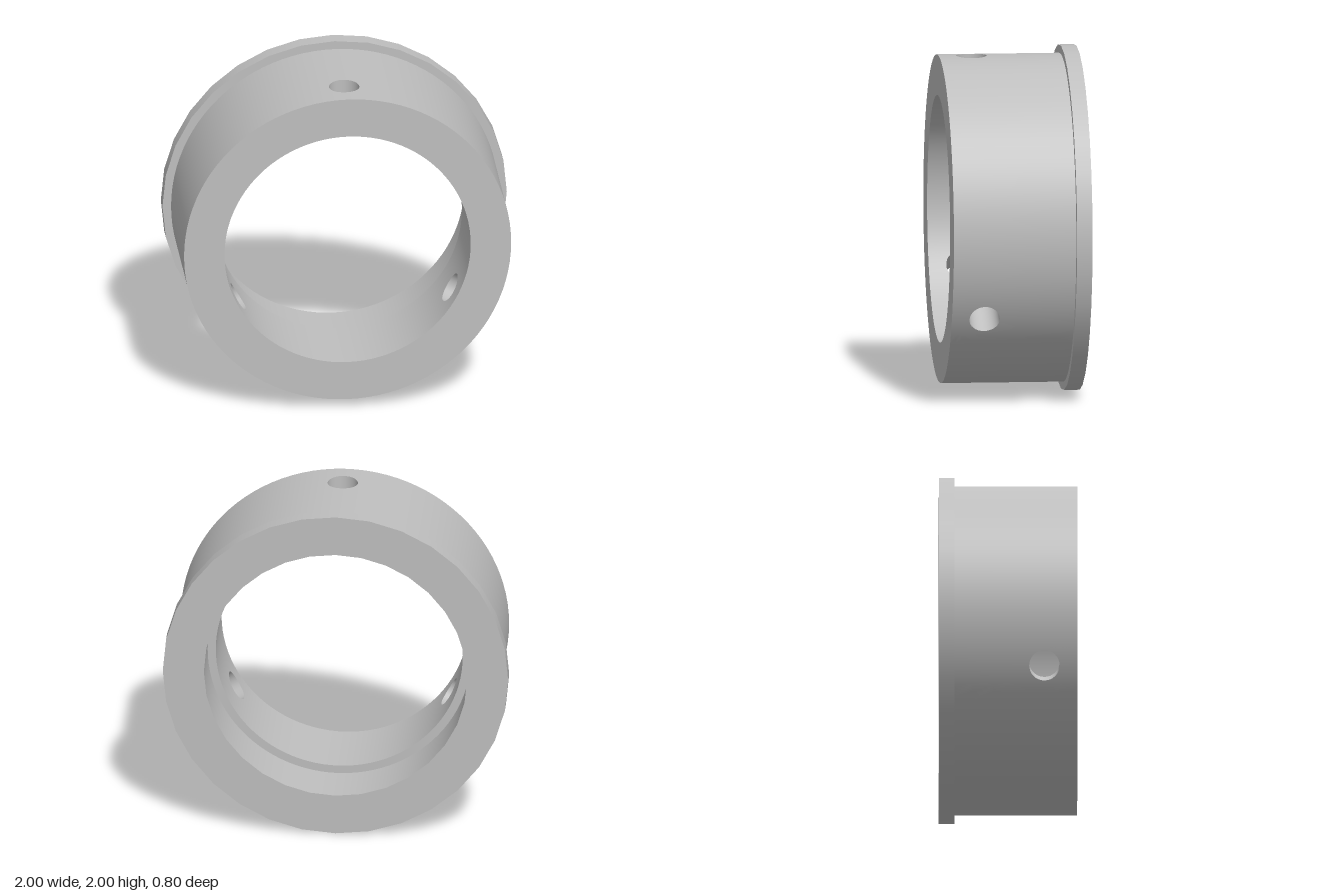
import * as THREE from 'three';

// Radii, depths (z) and radial hole dimensions
const BODY_R = 0.95, FLANGE_R = 1, BORE_R = 0.715, COUNTERBORE_R = 0.762;
const FRONT = 0.4, BACK = -0.4, FLANGE_Z = -0.31, STEP_Z = -0.08;
const HOLE_R = 0.088, HOLE_Z = 0.21, PATCH = Math.PI / 12;
const HOLE_ANGLES = [0, 1, 2].map((i) => (i * Math.PI * 2) / 3);

const metal = new THREE.MeshStandardMaterial({ color: 0xbebebe });
metal.name = 'grey metal';

// Point at radius r and angle a clockwise from the top
const polar = (r, a, z) => new THREE.Vector3(r * Math.sin(a), r * Math.cos(a), z);

// Surface grid: point(u, v) and normal(point, u); each triangle is wound to agree with its normal
function surface(name, nu, nv, point, normal) {
  const pts = [], nrm = [], index = [];
  for (let j = 0; j <= nv; j++) {
    for (let i = 0; i <= nu; i++) {
      const p = point(i / nu, j / nv);
      pts.push(p);
      nrm.push(normal(p, i / nu));
    }
  }
  const addTriangle = (a, b, c) => {
    const n = pts[b].clone().sub(pts[a]).cross(pts[c].clone().sub(pts[a]));
    const facing = nrm[a].clone().add(nrm[b]).add(nrm[c]);
    if (n.dot(facing) < 0) index.push(a, c, b);
    else index.push(a, b, c);
  };
  for (let j = 0; j < nv; j++) {
    for (let i = 0; i < nu; i++) {
      const a = j * (nu + 1) + i, d = a + nu + 1;
      addTriangle(a, a + 1, d + 1);
      addTriangle(a, d + 1, d);
    }
  }
  const g = new THREE.BufferGeometry().setFromPoints(pts);
  g.setAttribute('normal', new THREE.Float32BufferAttribute(nrm.flatMap((n) => n.toArray()), 3));
  g.setIndex(index);
  const mesh = new THREE.Mesh(g, metal);
  mesh.name = name;
  return mesh;
}

const radial = (sign) => (p) => new THREE.Vector3(p.x, p.y, 0).normalize().multiplyScalar(sign);

// Cylindrical wall; sign +1 faces outward, -1 inward
function wall(name, r, z0, z1, sign, a0 = 0, a1 = Math.PI * 2, n = 96) {
  return surface(name, n, 1, (u, v) => polar(r, a0 + (a1 - a0) * u, z0 + (z1 - z0) * v), radial(sign));
}

// Flat ring facing along z
function ring(name, r0, r1, z, sign, n = 96) {
  return surface(name, n, 1, (u, v) => polar(r0 + (r1 - r0) * v, Math.PI * 2 * u, z),
    () => new THREE.Vector3(0, 0, sign));
}

// Edge of a radial hole where it meets a cylinder of radius r, as angle and z
function holeEdge(r, t) {
  return [Math.asin((HOLE_R * Math.cos(t)) / r), HOLE_Z + HOLE_R * Math.sin(t)];
}

// Wall patch running from a rectangular border to a round hole
function holePatch(name, r, z0, z1, sign, centre) {
  const border = (u) => {
    const k = Math.min(Math.floor(u * 4), 3), s = u * 4 - k;
    const x = [1, 1 - 2 * s, -1, 2 * s - 1][k];
    const y = [s, 1, 1 - s, 0][k];
    return [x * PATCH, z0 + (z1 - z0) * y];
  };
  return surface(name, 32, 4, (u, v) => {
    const [ba, bz] = border(u);
    const [ha, hz] = holeEdge(r, Math.PI * 2 * u - Math.PI / 4);
    return polar(r, centre + ba + (ha - ba) * v, bz + (hz - bz) * v);
  }, radial(sign));
}

// Lining of a radial hole through the wall
function holeLining(centre) {
  return surface('radialHole', 32, 1, (u, v) => {
    const r = v ? BORE_R : BODY_R;
    const [a, z] = holeEdge(r, Math.PI * 2 * u - Math.PI / 4);
    return polar(r, centre + a, z);
  }, (p, u) => {
    const t = Math.PI * 2 * u - Math.PI / 4, c = -Math.cos(t);
    return new THREE.Vector3(c * Math.cos(centre), -c * Math.sin(centre), -Math.sin(t));
  });
}

export function createModel() {
  const model = new THREE.Group();
  model.name = 'flangedRing';

  // Sleeve: outer wall and bore, pierced by three radial holes
  const sleeve = new THREE.Group();
  sleeve.name = 'sleeve';
  for (const a of HOLE_ANGLES) {
    const from = a + PATCH, to = a + (Math.PI * 2) / 3 - PATCH;
    sleeve.add(
      wall('outerWall', BODY_R, FLANGE_Z, FRONT, 1, from, to, 24),
      wall('bore', BORE_R, STEP_Z, FRONT, -1, from, to, 24),
      holePatch('outerWallAroundHole', BODY_R, FLANGE_Z, FRONT, 1, a),
      holePatch('boreAroundHole', BORE_R, STEP_Z, FRONT, -1, a),
      holeLining(a),
    );
  }
  sleeve.add(ring('frontFace', BORE_R, BODY_R, FRONT, 1));

  // Counterbore entering from the back
  sleeve.add(
    wall('counterbore', COUNTERBORE_R, BACK, STEP_Z, -1),
    ring('counterboreStep', BORE_R, COUNTERBORE_R, STEP_Z, -1),
  );

  // Thin flange at the back
  const flange = new THREE.Group();
  flange.name = 'flange';
  flange.add(
    wall('flangeRim', FLANGE_R, BACK, FLANGE_Z, 1, 0, Math.PI * 2, 32),
    ring('flangeFront', BODY_R, FLANGE_R, FLANGE_Z, 1, 32),
    ring('flangeBack', COUNTERBORE_R, FLANGE_R, BACK, -1, 32),
  );

  model.add(sleeve, flange);
  model.position.y = 1;
  return model;
}
